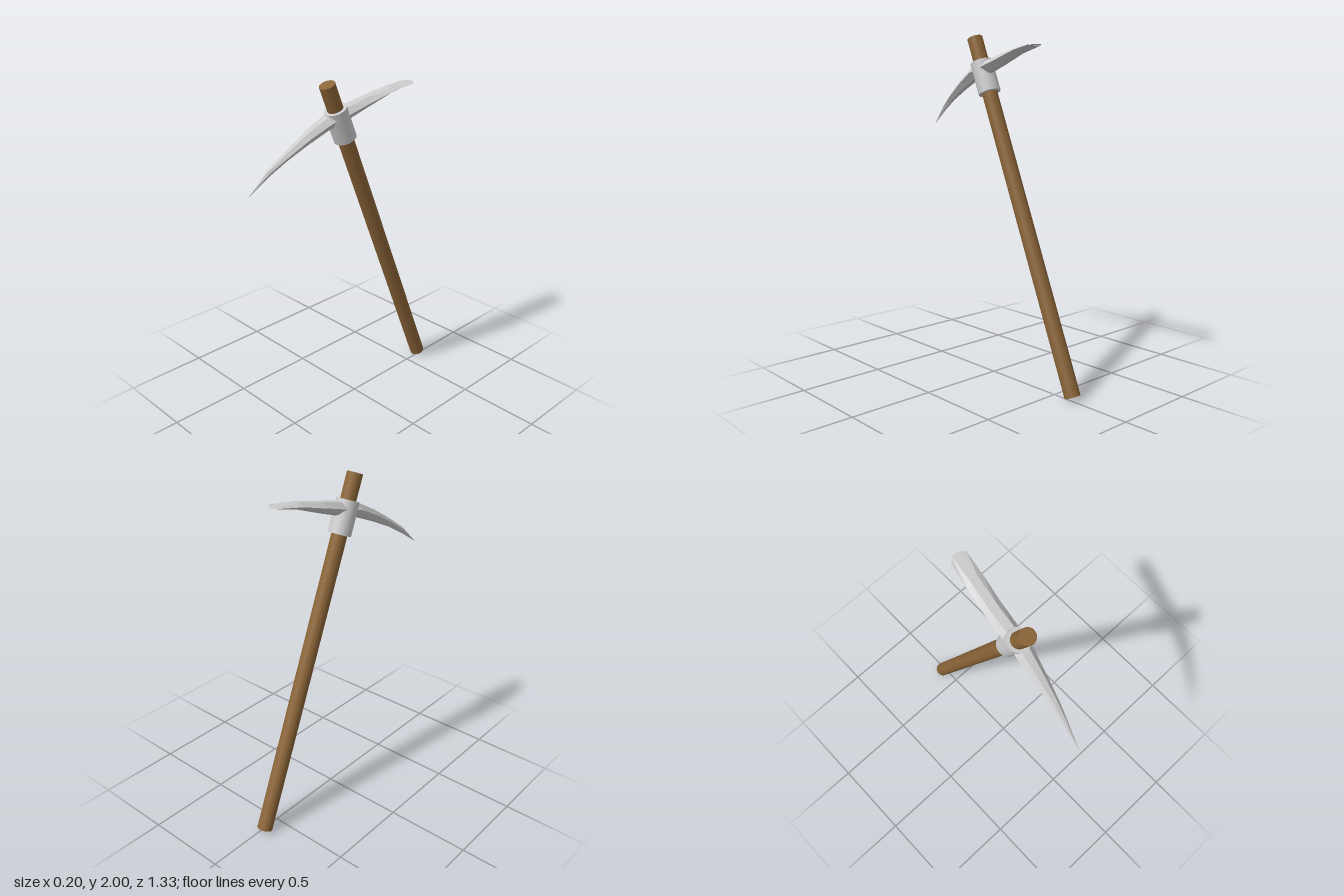
import * as THREE from 'three';

const steel = new THREE.MeshStandardMaterial({ color: 0xcccccc, flatShading: true });
const collarSteel = new THREE.MeshStandardMaterial({ color: 0xcccccc });
const wood = new THREE.MeshStandardMaterial({ color: 0x8b6538 });

// Handle axis, leaning forward
const foot = new THREE.Vector3(-0.017, 0.02, -0.62);
const top = new THREE.Vector3(-0.017, 1.984, 0.183);

// Cylinder lying on the handle axis between two heights
function rod(name, radius, y0, y1, material) {
  const at = (y) => foot.clone().lerp(top, (y - foot.y) / (top.y - foot.y));
  const a = at(y0), b = at(y1);
  const mesh = new THREE.Mesh(new THREE.CylinderGeometry(radius, radius, a.distanceTo(b), 32), material);
  mesh.position.copy(a).add(b).multiplyScalar(0.5);
  mesh.quaternion.setFromUnitVectors(new THREE.Vector3(0, 1, 0), b.sub(a).normalize());
  mesh.name = name;
  return mesh;
}

// Curved head lofted from the pointed pick to the broad blade
function headGeometry() {
  // z, top y, bottom y, x min, x max
  const stations = [
    [0.665, 1.470, 1.468, -0.100, -0.099],
    [0.55, 1.585, 1.548, -0.094, -0.067],
    [0.44, 1.665, 1.615, -0.088, -0.035],
    [0.31, 1.750, 1.678, -0.081, -0.004],
    [0.19, 1.815, 1.730, -0.074, 0.025],
    [0.05, 1.852, 1.772, -0.062, 0.043],
    [-0.08, 1.882, 1.817, -0.050, 0.056],
    [-0.24, 1.915, 1.876, -0.026, 0.080],
    [-0.37, 1.925, 1.916, -0.004, 0.099],
  ];
  // Section across the width (-1..1) and up the height (0..1)
  const section = [[1, 0.6], [0.45, 1], [0, 1], [-0.45, 1], [-1, 0.6], [-0.4, 0.12], [0, 0], [0.4, 0.12]];
  const n = section.length, last = stations.length - 1;
  const positions = [], index = [];
  stations.forEach(([z, yTop, yLow, x0, x1], i) => {
    for (const [u, v] of section) {
      const bulge = i === last ? 0.03 * (1 - u * u) : 0; // rounded cutting edge
      positions.push((x0 + x1) / 2 + u * (x1 - x0) / 2, yLow + v * (yTop - yLow), z - bulge);
    }
  });
  for (let i = 0; i < last; i++) {
    for (let k = 0; k < n; k++) {
      const a = i * n + k, b = i * n + (k + 1) % n;
      index.push(a, a + n, b, b, a + n, b + n);
    }
  }
  // End caps
  for (let k = 1; k < n - 1; k++) {
    index.push(0, k, k + 1);
    index.push(last * n, last * n + k + 1, last * n + k);
  }
  const geometry = new THREE.BufferGeometry();
  geometry.setAttribute('position', new THREE.Float32BufferAttribute(positions, 3));
  geometry.setIndex(index);
  geometry.computeVertexNormals();
  return geometry;
}

export function createModel() {
  const group = new THREE.Group();
  group.name = 'pickaxe';
  group.add(rod('handle', 0.045, foot.y, top.y, wood));
  group.add(rod('collar', 0.065, 1.668, 1.845, collarSteel));
  const head = new THREE.Mesh(headGeometry(), steel);
  head.name = 'head';
  group.add(head);
  return group;
}
